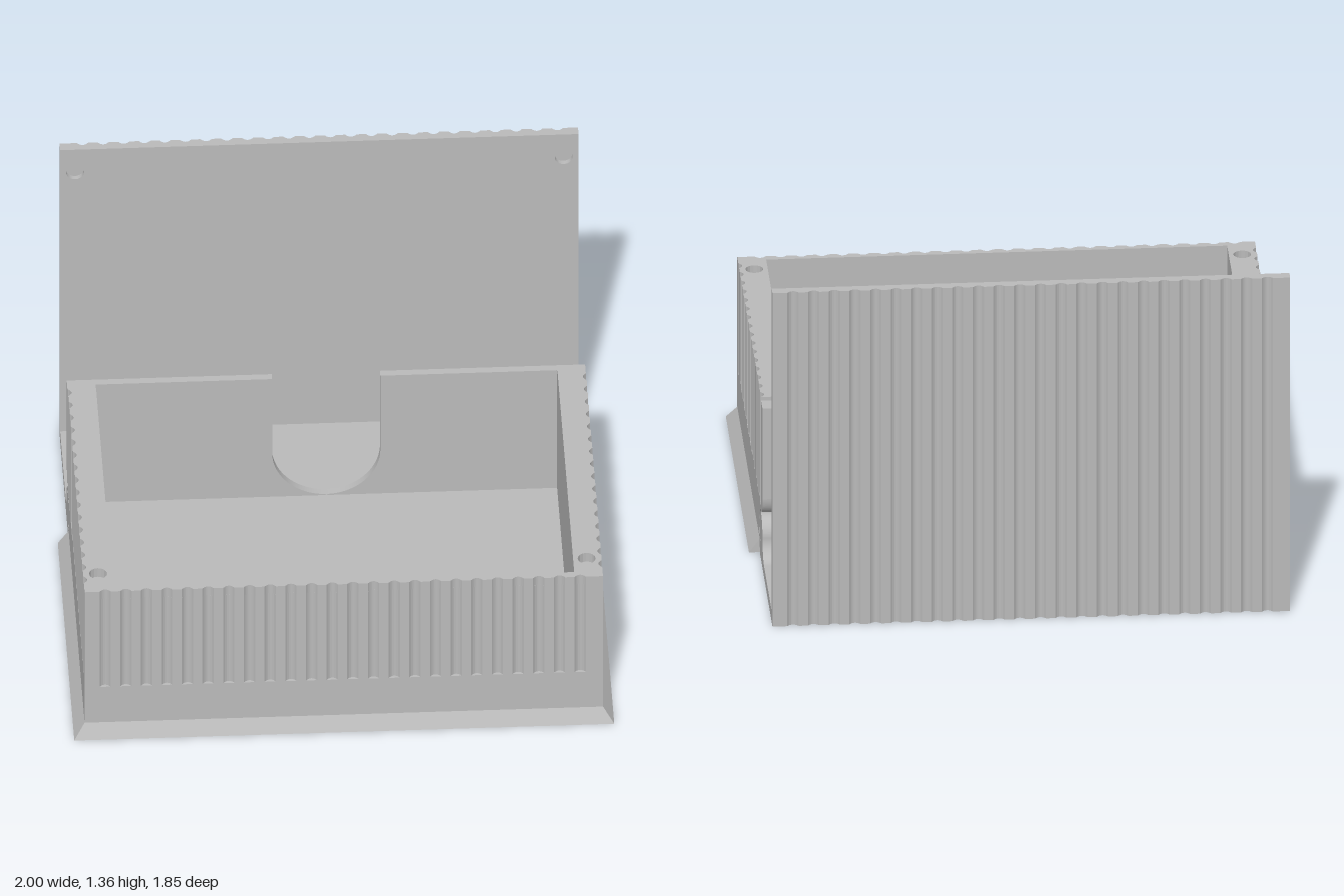
import * as THREE from 'three';

const grey = new THREE.MeshStandardMaterial({ color: 0xbababa });
grey.name = 'plainGrey';

const PITCH = 0.0765, FLUTE = 0.042, DEPTH = 0.013, HOLE = 0.033;

// Continue an outline from a to b with shallow rounded flutes cut to its left
function flutedLine(shape, ax, ay, bx, by, start, count, pitch = PITCH) {
  const len = Math.hypot(bx - ax, by - ay);
  const dx = (bx - ax) / len, dy = (by - ay) / len;
  const at = (t, d) => [ax + dx * t - dy * d, ay + dy * t + dx * d];
  for (let i = 0; i < count; i++) {
    const t = start + i * pitch;
    shape.lineTo(...at(t, 0));
    shape.quadraticCurveTo(...at(t + FLUTE / 2, DEPTH * 2), ...at(t + FLUTE, 0));
  }
  shape.lineTo(bx, by);
}

function circleHole(x, y) {
  return new THREE.Path().absarc(x, y, HOLE, 0, Math.PI * 2, true);
}

function extrude(shape, depth, curveSegments = 24) {
  return new THREE.ExtrudeGeometry(shape, { depth, curveSegments, bevelEnabled: false });
}

// Plan outline (x, -z) raised from y0 to y1
const planSolid = (shape, y0, y1, seg = 6) =>
  extrude(shape, y1 - y0, seg).rotateX(-Math.PI / 2).translate(0, y0, 0);

// Side outline (-z, y) spread from x0 to x1
const sideSolid = (shape, x0, x1) =>
  extrude(shape, x1 - x0).rotateY(Math.PI / 2).translate(x0, 0, 0);

// Box given by its limits
const block = (x0, x1, y0, y1, z0, z1) =>
  new THREE.BoxGeometry(x1 - x0, y1 - y0, z1 - z0)
    .translate((x0 + x1) / 2, (y0 + y1) / 2, (z0 + z1) / 2);

// U-shaped plan of the front and side walls, ending at s = -z
function wallPlan(s, fluted) {
  const w = new THREE.Shape();
  w.moveTo(-0.96, -0.89);
  if (fluted) {
    flutedLine(w, -0.96, -0.89, 0.96, -0.89, 0.055, 24);
    flutedLine(w, 0.96, -0.89, 0.96, s, 0.055, 16, 0.0754);
  } else {
    w.lineTo(0.96, -0.89);
    w.lineTo(0.96, s);
  }
  w.lineTo(0.855, s);
  w.lineTo(0.855, -0.86);
  w.lineTo(-0.855, -0.86);
  w.lineTo(-0.855, s);
  w.lineTo(-0.96, s);
  if (fluted) flutedLine(w, -0.96, s, -0.96, -0.89, 0.002, 16, 0.0754);
  return w;
}

export function createModel() {
  const model = new THREE.Group();
  const box = new THREE.Group();
  const lid = new THREE.Group();
  box.name = 'box';
  lid.name = 'openLid';
  model.add(box, lid);
  const add = (group, name, geometry) => {
    const mesh = new THREE.Mesh(geometry, grey);
    mesh.name = name;
    group.add(mesh);
  };

  // Sloping skirt around the foot
  const skirt = block(-1, 1, 0, 0.055, -0.27, 0.925);
  const p = skirt.attributes.position;
  for (let i = 0; i < p.count; i++) {
    if (p.getY(i) > 0.03) {
      p.setX(i, Math.sign(p.getX(i)) * 0.96);
      if (p.getZ(i) > 0) p.setZ(i, 0.89);
    }
  }
  skirt.computeVertexNormals();
  add(box, 'skirt', skirt);

  // Floor and walls: plain at the foot, fluted above, recesses in the rim
  add(box, 'floor', block(-0.96, 0.96, 0, 0.1, -0.2, 0.89));
  add(box, 'lowerWalls', planSolid(wallPlan(0.2, false), 0.1, 0.22));
  add(box, 'flutedWalls', planSolid(wallPlan(0.34, true), 0.22, 0.625));
  const rim = wallPlan(0.34, true);
  rim.holes.push(circleHole(0.905, -0.78), circleHole(-0.905, -0.78));
  add(box, 'rim', planSolid(rim, 0.625, 0.665, 8));

  // Rear floor, rounded underneath to clear the lid
  const heel = new THREE.Shape();
  heel.moveTo(0.2, 0);
  heel.lineTo(0.265, 0);
  heel.lineTo(0.265, 0.05);
  heel.lineTo(0.34, 0.05);
  heel.absarc(0.34, 0.12, 0.07, -Math.PI / 2, -0.29, false);
  heel.lineTo(0.2, 0.1);
  add(box, 'rearFloor', sideSolid(heel, -0.88, 0.88));

  // Back wall with a round-bottomed finger notch
  const back = new THREE.Shape();
  back.moveTo(-0.88, 0.1);
  back.lineTo(-0.005, 0.1);
  back.absarc(0, 0.305, 0.2, -Math.PI / 2, -Math.PI, true);
  back.lineTo(-0.2, 0.65);
  back.lineTo(-0.88, 0.65);
  const backGeo = extrude(back, 0.03).translate(0, 0, -0.41);
  add(box, 'backWallRight', backGeo);
  add(box, 'backWallLeft', backGeo.clone().rotateY(Math.PI).translate(0, 0, -0.79));

  // Rear cheeks with a socket for each hinge ear
  const cheek = new THREE.Shape();
  cheek.moveTo(0.2, 0);
  cheek.lineTo(0.265, 0);
  cheek.quadraticCurveTo(0.275, 0.045, 0.295, 0.054);
  cheek.absarc(0.34, 0.12, 0.08, Math.PI * 1.31, Math.PI / 2, true);
  cheek.quadraticCurveTo(0.405, 0.21, 0.41, 0.28);
  cheek.lineTo(0.41, 0.65);
  cheek.lineTo(0.34, 0.65);
  cheek.lineTo(0.34, 0.22);
  cheek.lineTo(0.2, 0.22);

  // Hinge ears rising from the lid
  const ear = new THREE.Shape();
  ear.moveTo(0.28, 0);
  ear.quadraticCurveTo(0.285, 0.045, 0.3, 0.0625);
  ear.absarc(0.34, 0.12, 0.07, Math.PI * 1.306, 0, true);
  ear.absarc(0.485, 0.12, 0.075, Math.PI, Math.PI * 1.5, false);
  ear.lineTo(0.485, 0);

  for (const side of [1, -1]) {
    const span = (a, b) => (side > 0 ? [a, b] : [-b, -a]);
    const name = side > 0 ? 'Left' : 'Right';
    add(box, 'rearCheek' + name, sideSolid(cheek, ...span(0.88, 0.96)));
    add(box, 'cheekLining' + name, block(...span(0.855, 0.88), 0.1, 0.65, -0.41, -0.2));
    add(lid, 'hingeEar' + name, sideSolid(ear, ...span(0.895, 0.96)));
  }

  // Lid: flat spine behind the box and the upright panel
  add(lid, 'spine', block(-0.96, 0.96, 0, 0.045, -0.9, -0.28));
  const face = new THREE.Shape();
  face.moveTo(-0.96, 0);
  face.lineTo(0.96, 0);
  face.lineTo(0.96, 1.36);
  face.lineTo(-0.96, 1.36);
  face.holes.push(circleHole(0.905, 1.255), circleHole(-0.905, 1.255));
  add(lid, 'panelFace', extrude(face, 0.02).translate(0, 0, -0.905));
  const outer = new THREE.Shape();
  outer.moveTo(-0.96, 0.905);
  outer.lineTo(0.96, 0.905);
  outer.lineTo(0.96, 0.925);
  flutedLine(outer, 0.96, 0.925, -0.96, 0.925, 0.055, 24);
  add(lid, 'flutedPanelBack', planSolid(outer, 0, 1.36));

  return model;
}
